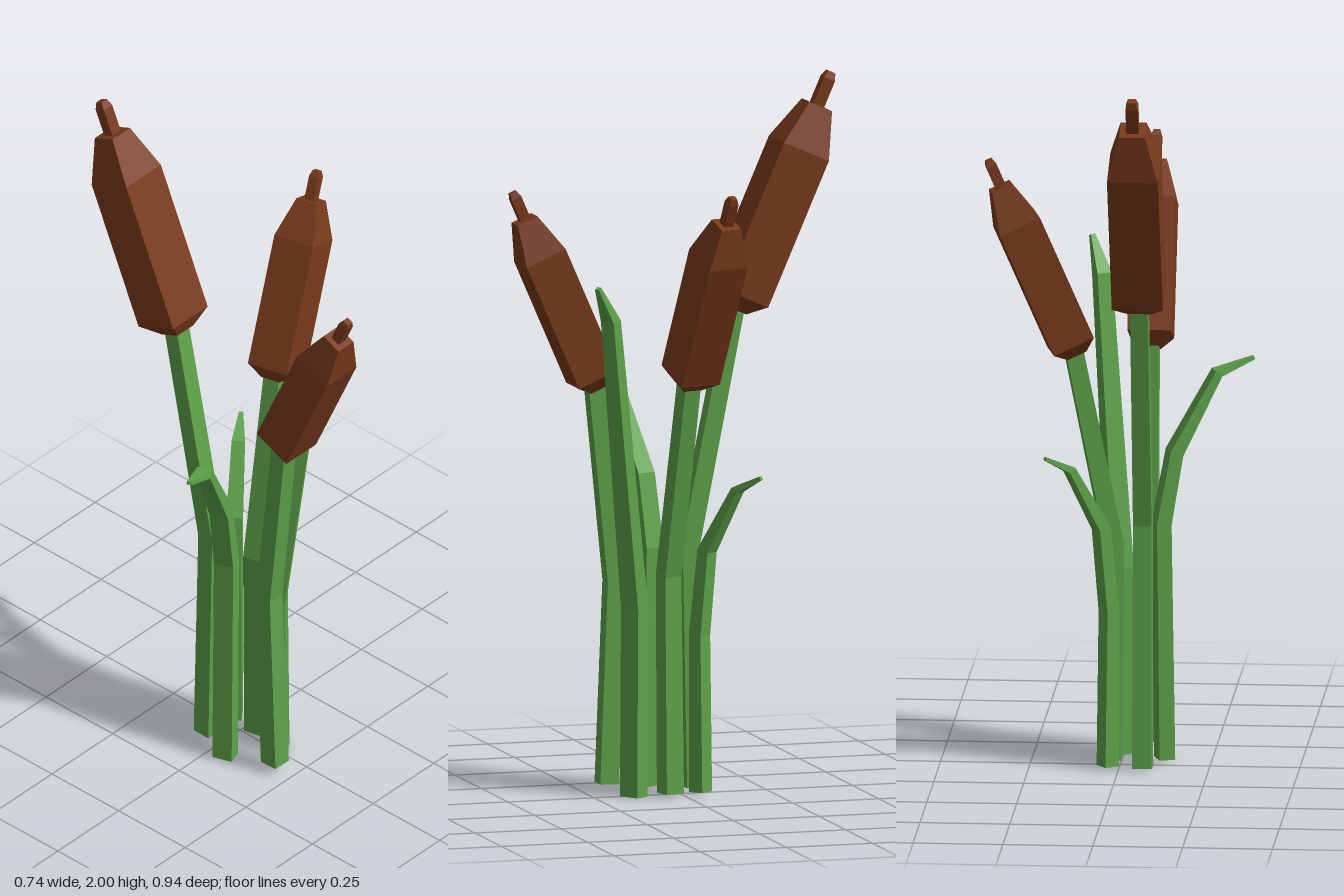
import * as THREE from 'three';

const green = new THREE.MeshStandardMaterial({ color: 0x5ea34a, flatShading: true });
const brown = new THREE.MeshStandardMaterial({ color: 0x7a3a1b, flatShading: true });

// Four-sided blade swept through stations [reach, height, width, depth]
// inside the vertical plane that runs along the ground direction (dx, dz).
function sweep(name, stations, dx, dz, material) {
  const len = Math.hypot(dx, dz);
  const out = new THREE.Vector3(dx / len, 0, dz / len);
  const up = new THREE.Vector3(0, 1, 0);
  const side = new THREE.Vector3().crossVectors(out, up);
  const last = stations.length - 1;
  const positions = [];
  const index = [];

  stations.forEach(([r, y, w, d], i) => {
    const a = stations[Math.max(i - 1, 0)];
    const b = stations[Math.min(i + 1, last)];
    const t = new THREE.Vector2(b[0] - a[0], b[1] - a[1]).normalize();
    for (const [u, v] of [[-1, -1], [1, -1], [1, 1], [-1, 1]]) {
      const p = new THREE.Vector3()
        .addScaledVector(side, u * w / 2)
        .addScaledVector(out, r + v * t.y * d / 2)
        .addScaledVector(up, y - v * t.x * d / 2);
      positions.push(p.x, p.y, p.z);
    }
    if (i === last) return;
    for (let k = 0; k < 4; k++) {
      const p = i * 4 + k, q = i * 4 + (k + 1) % 4;
      index.push(p, q, q + 4, p, q + 4, p + 4);
    }
  });
  // end caps
  const e = last * 4;
  index.push(0, 2, 1, 0, 3, 2, e, e + 1, e + 2, e, e + 2, e + 3);

  const indexed = new THREE.BufferGeometry();
  indexed.setAttribute('position', new THREE.Float32BufferAttribute(positions, 3));
  indexed.setIndex(index);
  const geometry = indexed.toNonIndexed();
  geometry.computeVertexNormals();
  const mesh = new THREE.Mesh(geometry, material);
  mesh.name = name;
  return mesh;
}

// Stem with a bevelled seed head and a small spike; the head leans outward
function cattail({ name, origin, dir, stem, head, scale }) {
  const group = new THREE.Group();
  group.name = name;
  group.position.set(origin[0], 0, origin[1]);
  const along = (list) => list.map(([t, size]) => [
    head[0] + 0.4 * t * scale, head[1] + 0.917 * t * scale, size * scale, size * scale]);
  const stemStations = stem.map(([r, y], i) => [r, y, 0.055 - i * 0.003, 0.055 - i * 0.003]);
  group.add(
    sweep('stem', stemStations, ...dir, green),
    sweep('seedHead', along([[-0.042, 0.065], [0, 0.142], [0.44, 0.142], [0.57, 0.072]]), ...dir, brown),
    sweep('spike', along([[0.55, 0.034], [0.65, 0.034], [0.67, 0.022]]), ...dir, brown),
  );
  return group;
}

export function createModel() {
  const model = new THREE.Group();
  model.name = 'cattailClump';

  const cattails = [
    { name: 'backCattail', origin: [-0.067, 0], dir: [0, -1], scale: 1,
      stem: [[0.06, 0.01], [0.046, 0.7], [0.178, 1.36]], head: [0.19, 1.385] },
    { name: 'frontCattail', origin: [-0.067, 0], dir: [0, 1], scale: 0.86,
      stem: [[0.192, 0.03], [0.171, 0.6], [0.228, 1.16]], head: [0.235, 1.175] },
    { name: 'leftCattail', origin: [0, 0.045], dir: [0.97, -0.23], scale: 0.86,
      stem: [[0.032, 0.01], [0.022, 0.62], [0.135, 1.18]], head: [0.143, 1.2] },
  ];
  cattails.forEach((c) => model.add(cattail(c)));

  // Curving leaves that narrow toward the tip
  const leaves = [
    { name: 'rightLeaf', origin: [0, 0.012], dir: [-0.945, 0.33], stations: [
      [0.127, 0.01, 0.058, 0.045], [0.118, 0.68, 0.058, 0.042], [0.155, 0.88, 0.056, 0.038],
      [0.277, 1.1, 0.046, 0.024], [0.383, 1.137, 0.014, 0.01]] },
    { name: 'leftLeaf', origin: [0, -0.0275], dir: [0.8, -0.6], stations: [
      [0.038, 0.01, 0.046, 0.045], [0.034, 0.45, 0.046, 0.04], [0.06, 0.69, 0.044, 0.036],
      [0.165, 0.87, 0.036, 0.022], [0.245, 0.91, 0.012, 0.01]] },
    { name: 'frontLeaf', origin: [0, 0.12], dir: [0.55, 0.83], stations: [
      [0.022, 0.002, 0.062, 0.045], [0.018, 0.53, 0.062, 0.044],
      [0.122, 1.35, 0.046, 0.032], [0.178, 1.448, 0.014, 0.012]] },
  ];
  for (const { name, origin, dir, stations } of leaves) {
    const leaf = sweep(name, stations, ...dir, green);
    leaf.position.set(origin[0], 0, origin[1]);
    model.add(leaf);
  }
  return model;
}
